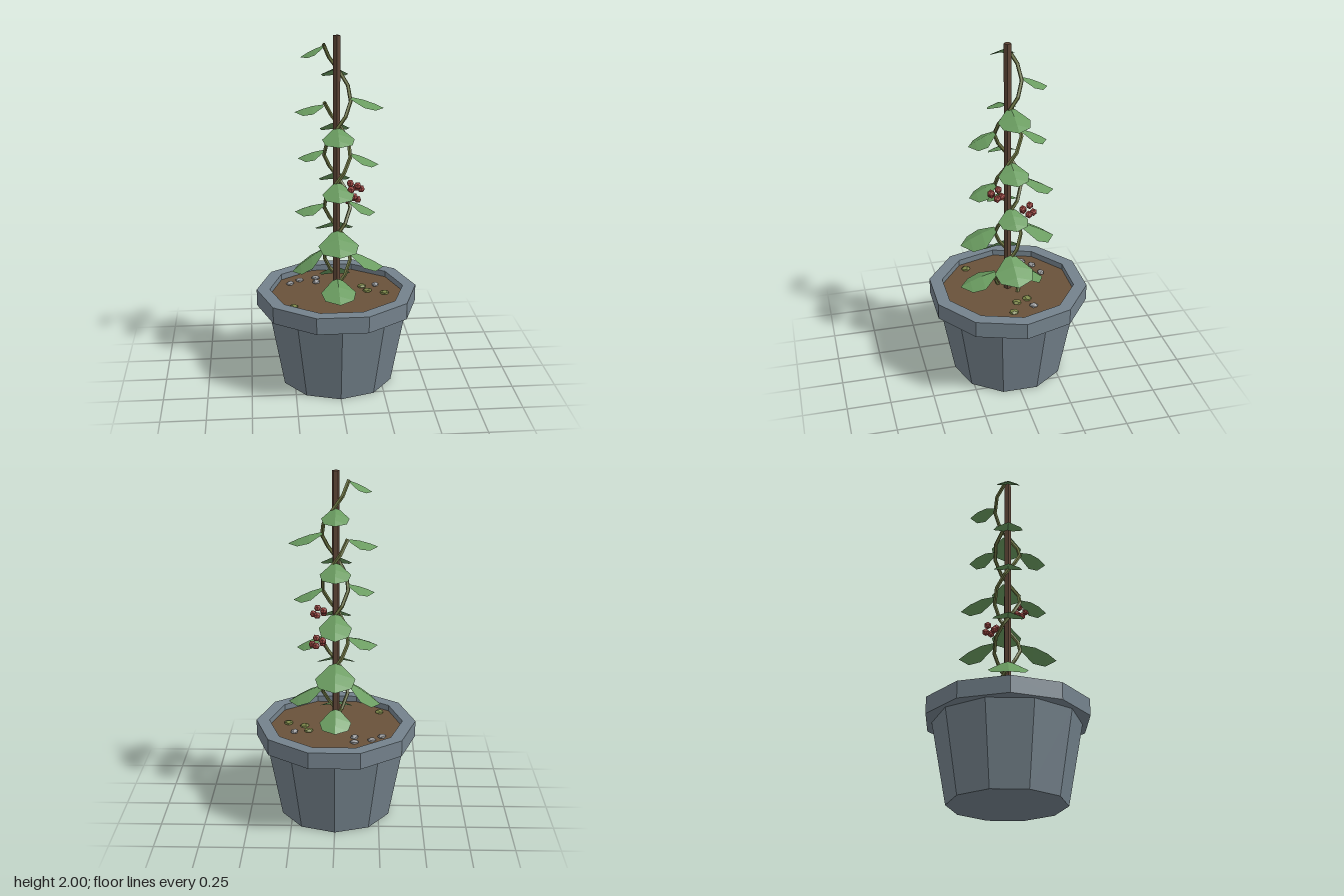
import * as THREE from 'three';

const mat = (name, color, double) => {
  const m = new THREE.MeshStandardMaterial({ color });
  m.name = name;
  if (double) m.side = THREE.DoubleSide;
  return m;
};

// Faceted normals for the low-poly look
function flat(geo) {
  const g = geo.index ? geo.toNonIndexed() : geo;
  g.computeVertexNormals();
  return g;
}

// Leaf growing along +z from the origin: folded along its midrib, drooping to the tip
function leafGeometry(length, drop, halfWidth) {
  const rows = [[0, 0.3], [0.38, 1], [0.72, 0.82], [1, 0]];
  const pts = rows.map(([t, w]) => {
    const y = -drop * t + 0.05 * length * Math.sin(Math.PI * t);
    const x = w * halfWidth;
    return [[-x, y - 0.33 * x, t * length], [0, y, t * length], [x, y - 0.33 * x, t * length]];
  });
  const pos = [];
  for (let i = 0; i < rows.length - 1; i++) {
    for (let k = 0; k < 2; k++) {
      const a = pts[i][k], b = pts[i][k + 1], c = pts[i + 1][k], d = pts[i + 1][k + 1];
      pos.push(...a, ...c, ...b);
      if (i < rows.length - 2) pos.push(...b, ...c, ...d);
    }
  }
  const g = new THREE.BufferGeometry();
  g.setAttribute('position', new THREE.Float32BufferAttribute(pos, 3));
  g.computeVertexNormals();
  return g;
}

export function createModel() {
  const model = new THREE.Group();
  model.name = 'pottedClimber';
  const slate = mat('slate pot', 0x74828c);
  const earth = mat('soil', 0x69523a);
  const wood = mat('stake wood', 0x5f4637);
  const vineGreen = mat('vine olive', 0x6c7442, true);
  const leafGreen = mat('leaf green', 0x6a9c60, true);
  const red = mat('berry red', 0xa84c47);
  const grey = mat('stone grey', 0x97989a);
  const moss = mat('moss olive', 0x7c8749);

  const add = (name, geo, material, x = 0, y = 0, z = 0, parent = model) => {
    const m = new THREE.Mesh(geo, material);
    m.name = name;
    m.position.set(x, y, z);
    parent.add(m);
    return m;
  };

  // Pot: ten-sided body and a rim turned by half a side
  add('potBody', flat(new THREE.CylinderGeometry(0.41, 0.325, 0.46, 10)), slate, 0, 0.23, 0);
  const rim = [[0.385, 0.455], [0.46, 0.455], [0.46, 0.55], [0.385, 0.55], [0.385, 0.455]]
    .map(([r, y]) => new THREE.Vector2(r, y));
  add('potRim', flat(new THREE.LatheGeometry(rim, 10, Math.PI / 2)), slate);
  add('soil', flat(new THREE.CylinderGeometry(0.387, 0.387, 0.055, 10, 1, false, Math.PI / 2)), earth, 0, 0.4875, 0);

  // Stake
  add('stake', flat(new THREE.CylinderGeometry(0.021, 0.021, 1.5, 5)), wood, 0, 1.25, 0);

  // Two vines winding up opposite sides of the stake
  const pitch = 0.61, step = pitch / 8;
  const vine = (name, peakY, topY) => {
    const points = [];
    const count = Math.round((topY - 0.5) / step);
    for (let i = 0; i <= count; i++) {
      const y = 0.5 + (topY - 0.5) * i / count;
      const t = 2 * Math.PI * (y - peakY) / pitch;
      points.push(new THREE.Vector3(0.004 + 0.074 * Math.cos(t), y, -0.074 * Math.sin(t)));
    }
    const curve = new THREE.CatmullRomCurve3(points);
    add(name, flat(new THREE.TubeGeometry(curve, count, 0.011, 5)), vineGreen);
  };
  vine('tallVine', 1.055, 1.95);
  vine('shortVine', 0.75, 1.63);

  // Leaves per side: [base height, tip radius, tip height, half width]
  const leaves = new THREE.Group();
  leaves.name = 'leaves';
  model.add(leaves);
  const sides = {
    front: [0, [[0.63, 0.28, 0.555, 0.098], [0.92, 0.275, 0.83, 0.112], [1.2, 0.22, 1.125, 0.087], [1.51, 0.22, 1.435, 0.088]]],
    left: [Math.PI / 2, [[0.77, 0.27, 0.67, 0.11], [1.07, 0.22, 1.0, 0.085], [1.35, 0.235, 1.28, 0.085], [1.665, 0.26, 1.6, 0.088]]],
    back: [Math.PI, [[0.65, 0.21, 0.555, 0.09], [0.93, 0.27, 0.83, 0.112], [1.22, 0.265, 1.125, 0.09], [1.51, 0.22, 1.435, 0.085], [1.81, 0.22, 1.745, 0.075]]],
    right: [-Math.PI / 2, [[0.79, 0.255, 0.655, 0.11], [1.06, 0.235, 1.015, 0.09], [1.37, 0.215, 1.325, 0.082], [1.625, 0.23, 1.585, 0.085], [1.945, 0.195, 1.885, 0.068]]],
  };
  for (const [side, [angle, list]] of Object.entries(sides)) {
    for (const [y, tipR, tipY, w] of list) {
      const base = 0.073;
      const leaf = add(side + 'Leaf', leafGeometry(tipR - base, y - tipY, w), leafGreen,
        Math.sin(angle) * base, y, Math.cos(angle) * base, leaves);
      leaf.rotation.y = angle;
    }
  }

  // Berry clusters: rings of five, alternating in height
  const berryGeo = flat(new THREE.IcosahedronGeometry(0.022, 0));
  for (const [x, y, z] of [[0.097, 1.18, 0.09], [0.097, 1.062, -0.09]]) {
    const cluster = new THREE.Group();
    cluster.name = 'berryCluster';
    model.add(cluster);
    for (let i = 0; i < 5; i++) {
      const a = i * Math.PI * 0.4;
      add('berry', berryGeo, red, x + 0.032 * Math.cos(a), y + (i % 2 ? 0.014 : -0.012), z + 0.032 * Math.sin(a), cluster);
    }
  }

  // Pebbles and moss lumps lying on the soil
  const stoneGeo = flat(new THREE.IcosahedronGeometry(0.027, 0).scale(1, 0.5, 0.8));
  const mossGeo = flat(new THREE.DodecahedronGeometry(0.027, 0).scale(1, 0.45, 1));
  [[-0.108, -0.23], [-0.205, -0.2], [-0.263, -0.15], [-0.108, -0.163], [0.235, -0.095]].forEach(([x, z], i) => {
    add('pebble', stoneGeo, grey, x, 0.521, z).rotation.y = i * 0.3;
  });
  [[0.275, 0.03], [-0.255, 0.198], [0.154, -0.077], [0.18, -0.01]].forEach(([x, z], i) => {
    add('mossLump', mossGeo, moss, x, 0.521, z).rotation.y = i * 0.9;
  });

  return model;
}
